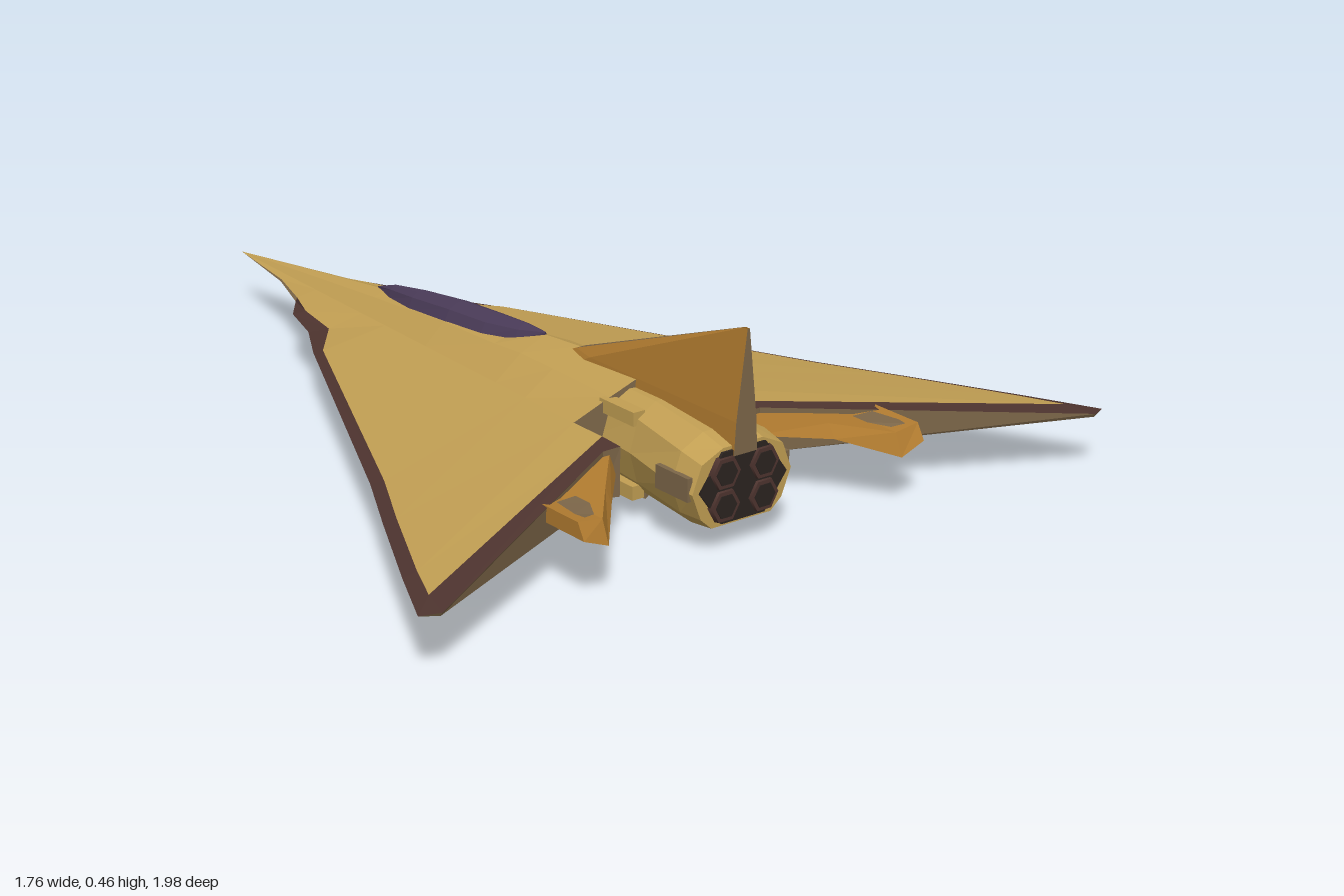
import * as THREE from 'three';

const paint = (name, color, side = THREE.FrontSide) => {
  const m = new THREE.MeshStandardMaterial({ color, side });
  m.name = name;
  return m;
};

// Flat-faced surface through rows of [x, y, z] points
function loft(rows, closed = false) {
  const pos = [];
  const n = rows[0].length;
  for (let i = 0; i < rows.length - 1; i++) {
    for (let j = 0; j < (closed ? n : n - 1); j++) {
      const k = (j + 1) % n;
      const [a, b, c, d] = [rows[i][j], rows[i + 1][j], rows[i + 1][k], rows[i][k]];
      pos.push(...a, ...b, ...c, ...a, ...c, ...d);
    }
  }
  const g = new THREE.BufferGeometry();
  g.setAttribute('position', new THREE.Float32BufferAttribute(pos, 3));
  g.computeVertexNormals();
  return g;
}

const mirrorRows = rows => rows.map(r => r.map(([x, y, z]) => [-x, y, z]).reverse());

// Closed solid: loops capped by their own centres
function solid(rows) {
  const cap = r => {
    const c = [0, 1, 2].map(k => r.reduce((s, p) => s + p[k], 0) / r.length);
    return r.map(() => c);
  };
  return [cap(rows[0]), ...rows, cap(rows[rows.length - 1])];
}

// Linear interpolation in a list of [z, value]
function sample(list, z) {
  for (let i = 1; i < list.length; i++) {
    const [z0, v0] = list[i - 1], [z1, v1] = list[i];
    if (z <= z1) return v0 + (v1 - v0) * (z - z0) / (z1 - z0);
  }
  return list[list.length - 1][1];
}

// Six-sided disc facing +z, with corners to the sides
const hexDisc = (rFront, rBack, depth) =>
  new THREE.CylinderGeometry(rFront, rBack, depth, 6).rotateX(Math.PI / 2).rotateZ(Math.PI / 2);

export function createModel() {
  const model = new THREE.Group();
  model.name = 'deltaCraft';
  const gold = paint('gold', 0xc29f53);
  const orange = paint('orange', 0xb27c30, THREE.DoubleSide);
  const taupe = paint('taupe', 0x7d6749, THREE.DoubleSide);
  const trim = paint('maroonTrim', 0x4e342f, THREE.DoubleSide);
  const glass = paint('purpleGlass', 0x4a3b58, THREE.DoubleSide);
  const dark = paint('darkMetal', 0x2b2320);

  const add = (name, geo, mat) => {
    const m = new THREE.Mesh(geo, mat);
    m.name = name;
    model.add(m);
    return m;
  };
  const pair = (name, rows, mat, closed = false) => {
    add(name + 'Left', loft(rows, closed), mat);
    add(name + 'Right', loft(mirrorRows(rows), closed), mat);
  };

  // Body lines, all running from the nose point
  const ridgeLine = [[-0.99, 0.13], [-0.61, 0.175], [-0.39, 0.2], [-0.28, 0.208], [0.1, 0.245], [0.2, 0.262], [0.32, 0.27], [0.53, 0.28]];
  const bulge = [[-0.99, 0], [-0.39, 0.01], [-0.1, 0.018], [0.2, 0.012], [0.5, 0]];
  const ridge = z => sample(ridgeLine, z);
  const grow = z => Math.min((z + 0.99) / 1.52, 1);
  const shoulder = z => [0.168 * grow(z), 0.13 + 0.068 * grow(z), z];
  const chine = z => [0.168 * grow(z), 0.13 - 0.045 * grow(z), z];
  const keel = z => [0, 0.13 - 0.13 * grow(z), z];
  const flank = z => [0.084 * grow(z), (ridge(z) + shoulder(z)[1]) / 2 + sample(bulge, z), z];

  // Upper and lower hull, ending in a shallow point at the back
  const hullZ = [-0.99, -0.75, -0.61, -0.52, -0.39, -0.28, -0.1, 0.1, 0.2, 0.32];
  const [sh, ch] = [shoulder(0.51), chine(0.51)];
  const backRidge = [0, 0.28, 0.54], backFlank = [0.084, 0.239, 0.525], backKeel = [0, 0, 0.54];
  pair('upperHull', [...hullZ.map(z => [[0, ridge(z), z], flank(z), shoulder(z)]), [backRidge, backFlank, sh]], gold);
  pair('lowerHull', [...hullZ.map(z => [chine(z), keel(z)]), [ch, backKeel]], gold);
  pair('hullBack', [[backKeel, backRidge], [[0.084, 0.042, 0.525], backFlank], [ch, sh]], taupe);

  // Wings: root z, panel edge x z, outer edge x z
  const wing = [
    [-0.99, 0, -0.99, 0, -0.99],
    [-0.75, 0.045, -0.75, 0.047, -0.75],
    [-0.61, 0.094, -0.61, 0.098, -0.61],
    [-0.52, 0.13, -0.52, 0.152, -0.54],
    [-0.39, 0.155, -0.39, 0.19, -0.42],
    [-0.28, 0.245, -0.28, 0.257, -0.3],
    [0.1, 0.57, 0.42, 0.59, 0.4],
    [0.32, 0.66, 0.59, 0.685, 0.58],
    [0.51, 0.775, 0.82, 0.805, 0.815],
    [0.605, 0.82, 0.92, 0.88, 0.97],
  ];
  const panelEdge = w => [w[1], 0.13 + Math.min(0.009, 0.1 * w[1]), w[2]];
  const outerEdge = w => [w[3], 0.13, w[4]];
  pair('wingTop', wing.map(w => [shoulder(w[0]), panelEdge(w)]), gold);
  pair('wingUnderside', wing.map(w => [outerEdge(w), chine(w[0])]), taupe);
  pair('leadingTrim', wing.slice(2).map(w => [panelEdge(w), outerEdge(w)]), trim);

  // Trailing edge: flat strip, rear face and underside filler
  const backTop = [[0.165, 0.193, 0.66], [0.205, 0.19, 0.655], [0.84, 0.134, 0.99], [0.88, 0.13, 0.97]];
  const backLow = [[0.165, 0.085, 0.66], [0.205, 0.088, 0.65], [0.84, 0.126, 0.985], [0.88, 0.13, 0.97]];
  const tip = panelEdge(wing[9]);
  const inner = [shoulder(0.605), [0.205, 0.195, 0.623], tip, tip];
  const lowInner = [chine(0.605), [0.205, 0.087, 0.625], [0.82, 0.126, 0.935], [0.88, 0.13, 0.97]];
  pair('trailingTrim', inner.map((p, i) => [backTop[i], p]), trim);
  pair('wingBack', backTop.map((p, i) => [backLow[i], p]), taupe);
  pair('wingRearUnderside', lowInner.map((p, i) => [p, backLow[i]]), taupe);
  pair('wingRootWall', [[ch, sh], [backLow[0], backTop[0]]], taupe);

  // Canopy: pointed blister on the ridge
  const canopy = [[-0.42, 0, 0], [-0.35, 0.02, 0.016], [-0.25, 0.037, 0.024], [-0.1, 0.048, 0.026],
    [0.03, 0.047, 0.022], [0.13, 0.03, 0.016], [0.2, 0.002, 0.003]];
  add('canopy', loft(canopy.map(([z, w, h]) => {
    const [fx, fy] = flank(z), slope = (ridge(z) - fy) / fx;
    return [-1, -0.7, -0.3, 0, 0.3, 0.7, 1].map(f => [f * w,
      ridge(z) - slope * w * Math.abs(f) + h * Math.sqrt(1 - f * f) + (Math.abs(f) < 1 ? 0.003 : -0.003), z]);
  })), glass);

  // Tail fin: orange sides with taupe leading and rear edges; y, front z, edge half width, half width
  const fin = [[0.2, 0.17, 0.014, 0.03], [0.27, 0.32, 0.012, 0.026], [0.46, 0.835, 0.002, 0.003]];
  pair('tailFinSide', fin.map(([y, z, e, w]) => [[e, y, z], [w, y, z + (0.848 - z) * 0.12], [w, y, 0.848]]), orange);
  add('tailFinLeadingEdge', loft(fin.map(([y, z, e]) => [[-e, y, z], [e, y, z]])), taupe);
  add('tailFinRearEdge', loft(fin.map(([y, , , w]) => [[w, y, 0.848], [-w, y, 0.848]])), taupe);

  // Engine housing with faceted sides
  const engineLoop = (z, w, lo, hi) => {
    const m = (lo + hi) / 2, h = (hi - lo) / 2;
    return [[w, m], [w * 0.82, m - h * 0.7], [w * 0.6, lo], [-w * 0.6, lo], [-w * 0.82, m - h * 0.7],
      [-w, m], [-w * 0.82, m + h * 0.7], [-w * 0.4, hi], [w * 0.4, hi], [w * 0.82, m + h * 0.7]]
      .map(([x, y]) => [x, y, z]);
  };
  add('engineHousing', loft(solid([engineLoop(0.5, 0.1, 0.06, 0.25), engineLoop(0.62, 0.108, 0.055, 0.25),
    engineLoop(0.78, 0.132, 0.05, 0.236), engineLoop(0.84, 0.128, 0.055, 0.22)]), true), gold);
  add('exhaustPlate', hexDisc(0.112, 0.112, 0.008).scale(1, 0.78, 1), dark).position.set(0, 0.137, 0.842);

  // Four six-sided nozzles, rails and side panels
  for (const s of [-1, 1]) {
    for (const y of [0.1, 0.17]) {
      add('nozzleRim', hexDisc(0.036, 0.04, 0.02), trim).position.set(s * 0.05, y, 0.842);
      add('nozzleCore', hexDisc(0.027, 0.027, 0.006), dark).position.set(s * 0.05, y, 0.851);
    }
    for (const y of [0.222, 0.062]) {
      add('engineRail', new THREE.BoxGeometry(0.03, 0.03, 0.11), gold).position.set(s * 0.085, y, 0.565);
    }
    add('engineSidePanel', new THREE.BoxGeometry(0.012, 0.05, 0.1), taupe).position.set(s * 0.126, 0.145, 0.78);
  }

  // Rear flaps under the trailing edges, with a sloped back face
  const flapLoop = (x, z0, z1, lo, hi) => [[x, lo, z0], [x, lo, z1], [x, hi, z1 - 0.02], [x, hi, z0]];
  pair('rearFlap', solid([
    flapLoop(0.18, 0.6, 0.665, 0.137, 0.18), flapLoop(0.29, 0.66, 0.79, 0.143, 0.172),
    flapLoop(0.38, 0.7, 0.895, 0.115, 0.164), flapLoop(0.44, 0.75, 0.895, 0.138, 0.172),
  ]), orange, true);
  pair('flapInset', [
    [[0.36, 0.17, 0.765], [0.41, 0.171, 0.77]],
    [[0.36, 0.17, 0.81], [0.42, 0.172, 0.84]],
    [[0.385, 0.168, 0.855], [0.415, 0.172, 0.865]],
  ], taupe);

  return model;
}
